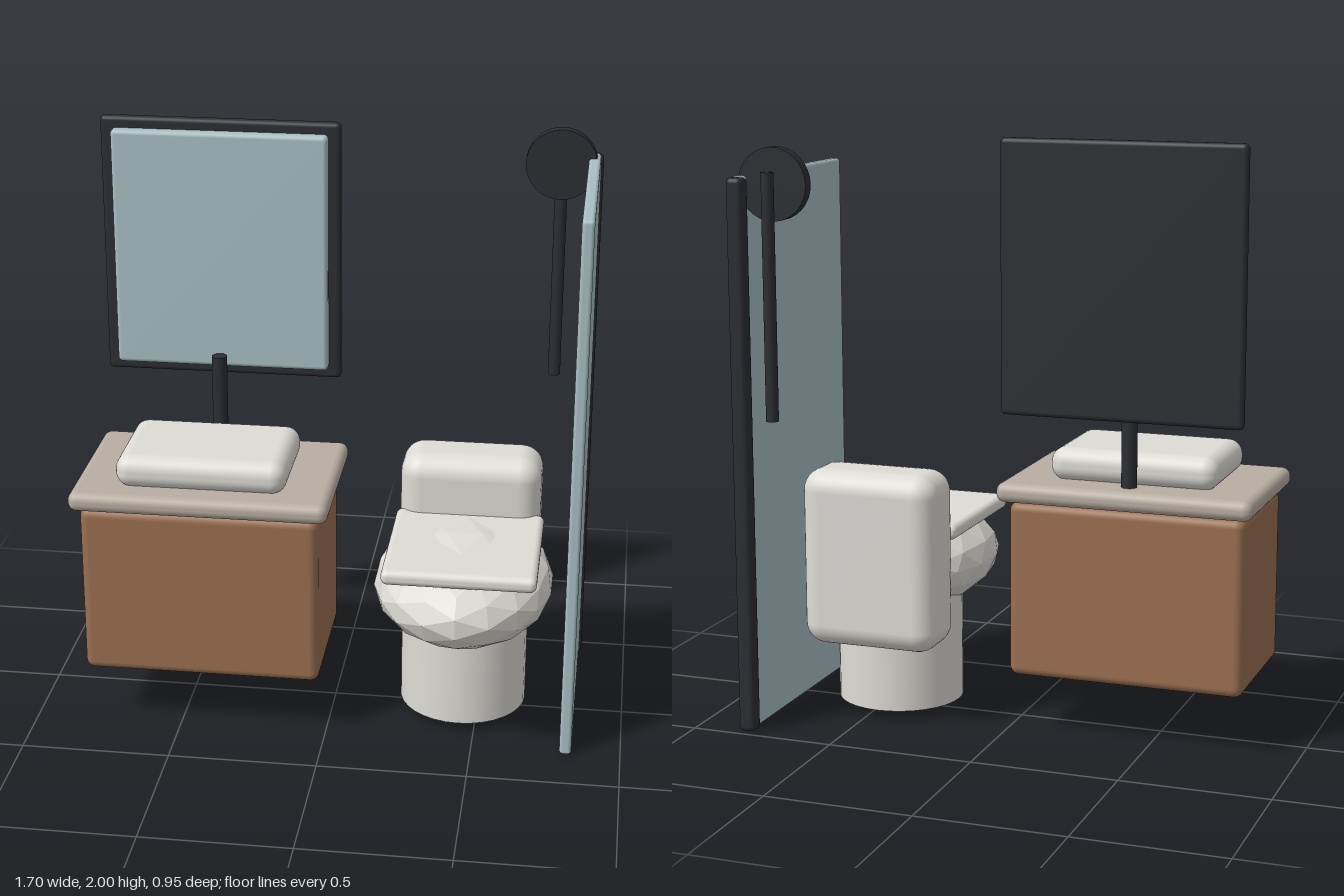
import * as THREE from 'three';
import { RoundedBoxGeometry } from 'three/addons/geometries/RoundedBoxGeometry.js';

export function createModel() {
  const model = new THREE.Group();
  const paint = (color, flatShading = false) => new THREE.MeshStandardMaterial({ color, flatShading });
  const wood = paint(0x9a6f50);
  const stone = paint(0xb8aea2);
  const ceramic = paint(0xdedcd6);
  const facetedCeramic = paint(0xdedcd6, true);
  const glass = paint(0xa9bfc3);
  const black = paint(0x2b2e32);

  const add = (parent, name, geometry, material, x, y, z) => {
    const mesh = new THREE.Mesh(geometry, material);
    mesh.name = name;
    mesh.position.set(x, y, z);
    parent.add(mesh);
    return mesh;
  };

  // Rounded box given by its [min, max] range on each axis
  const box = (parent, name, material, [x0, x1], [y0, y1], [z0, z1], radius) =>
    add(parent, name, new RoundedBoxGeometry(x1 - x0, y1 - y0, z1 - z0, 4, radius), material,
      (x0 + x1) / 2, (y0 + y1) / 2, (z0 + z1) / 2);

  // Upright cylinder between two heights
  const post = (parent, name, material, radius, x, [y0, y1], z) =>
    add(parent, name, new THREE.CylinderGeometry(radius, radius, y1 - y0, 32), material,
      x, (y0 + y1) / 2, z);

  const group = (name) => {
    const g = new THREE.Group();
    g.name = name;
    model.add(g);
    return g;
  };

  // Vanity: cabinet, counter, basin and tap
  const vanity = group('vanity');
  box(vanity, 'cabinet', wood, [-0.82, -0.02], [0.205, 0.8], [-0.195, 0.31], 0.03);
  box(vanity, 'counter', stone, [-0.85, 0.015], [0.803, 0.87], [-0.232, 0.348], 0.03);
  box(vanity, 'basin', ceramic, [-0.705, -0.133], [0.863, 0.975], [-0.117, 0.274], 0.05);
  post(vanity, 'tap', black, 0.026, -0.419, [0.865, 1.197], -0.137);

  // Framed wall mirror
  const mirror = group('mirror');
  box(mirror, 'mirrorFrame', black, [-0.823, -0.013], [1.105, 2], [-0.253, -0.215], 0.016);
  box(mirror, 'mirrorGlass', glass, [-0.782, -0.053], [1.143, 1.963], [-0.225, -0.177], 0.016);

  // Toilet: tank, seat, faceted bowl and round pedestal
  const toilet = group('toilet');
  box(toilet, 'tank', ceramic, [0.207, 0.69], [0.27, 0.88], [-0.312, -0.075], 0.075);
  box(toilet, 'seat', ceramic, [0.197, 0.704], [0.63, 0.682], [-0.12, 0.403], 0.022);
  const bowl = add(toilet, 'bowl', new THREE.IcosahedronGeometry(1, 2), facetedCeramic, 0.448, 0.52, 0.09);
  bowl.scale.set(0.303, 0.175, 0.387);
  post(toilet, 'pedestal', ceramic, 0.216, 0.447, [0.035, 0.5], 0);

  // Shower: glass screen, wall channel, rail and round head facing front
  const shower = group('shower');
  box(shower, 'glassScreen', glass, [0.797, 0.837], [0.005, 1.868], [-0.455, 0.329], 0.012);
  box(shower, 'wallChannel', black, [0.788, 0.846], [0, 1.866], [-0.479, -0.42], 0.018);
  post(shower, 'showerRail', black, 0.021, 0.707, [1.072, 1.885], -0.449);
  const head = post(shower, 'showerHead', black, 0.12, 0.708, [1.823, 1.863], -0.395);
  head.rotation.x = Math.PI / 2;

  return model;
}
